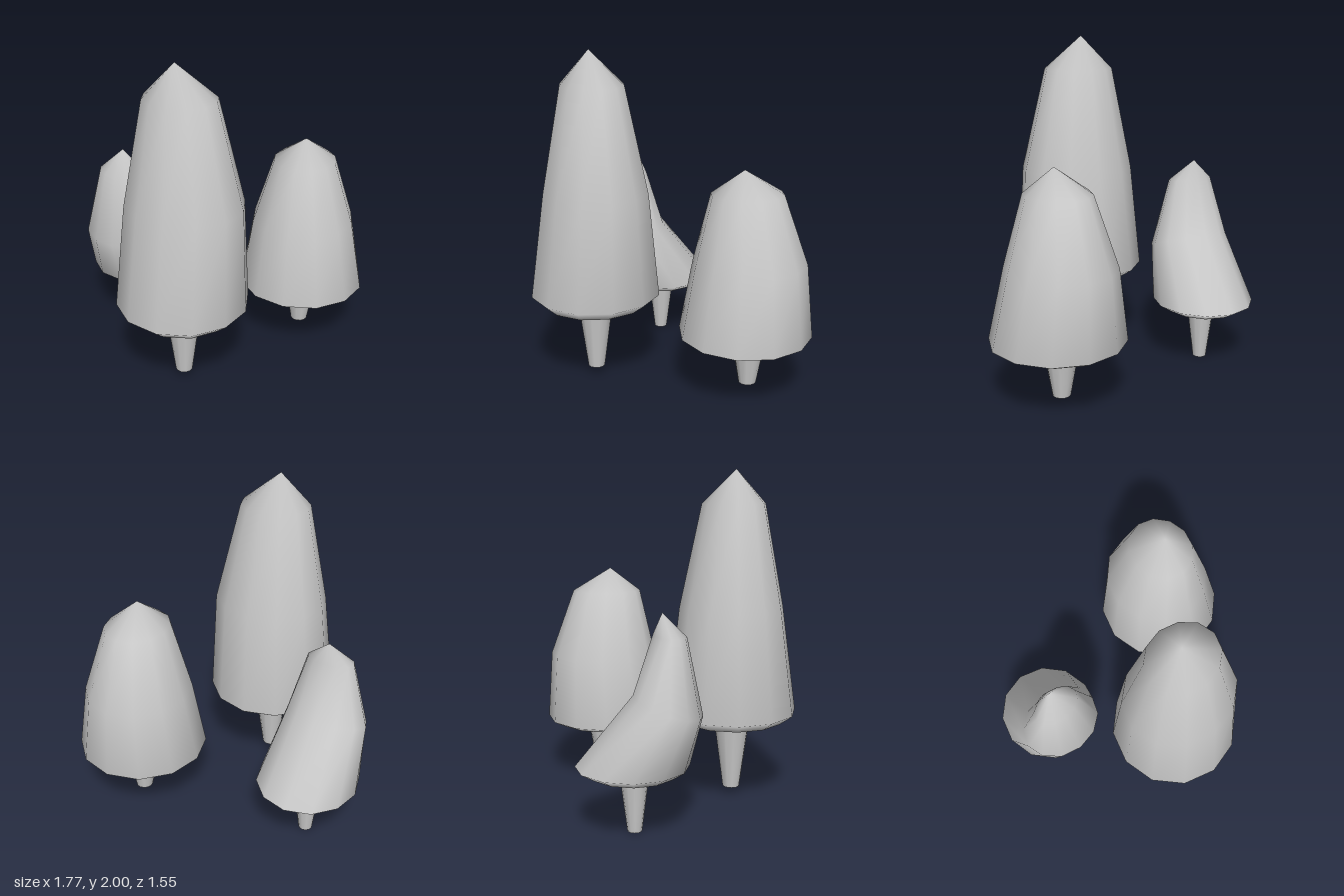
import * as THREE from 'three';

const SIDES = 12;

// Smooth closed loft. Rings run from top to bottom: [y, xMin, xMax, zMin, zMax, rise towards the back]
function crownGeometry(tip, rings, under) {
  const pos = [...tip];
  const index = [];
  for (const [y, x0, x1, z0, z1, tilt = 0] of rings) {
    for (let j = 0; j < SIDES; j++) {
      const a = (j / SIDES) * Math.PI * 2;
      pos.push(
        (x0 + x1) / 2 + ((x1 - x0) / 2) * Math.sin(a),
        y - tilt * Math.cos(a),
        (z0 + z1) / 2 + ((z1 - z0) / 2) * Math.cos(a)
      );
    }
  }
  pos.push(...under);
  const last = pos.length / 3 - 1;
  const at = (r, j) => 1 + r * SIDES + (j % SIDES);
  for (let j = 0; j < SIDES; j++) {
    index.push(0, at(0, j), at(0, j + 1));
    for (let r = 0; r < rings.length - 1; r++) {
      const a = at(r, j), b = at(r, j + 1), c = at(r + 1, j), d = at(r + 1, j + 1);
      index.push(c, d, b, c, b, a);
    }
    index.push(at(rings.length - 1, j + 1), at(rings.length - 1, j), last);
  }
  const g = new THREE.BufferGeometry();
  g.setAttribute('position', new THREE.Float32BufferAttribute(pos, 3));
  g.setIndex(index);
  g.computeVertexNormals();
  return g;
}

const TREES = [
  {
    name: 'tallTree',
    trunk: { x: -0.02, z: 0.385, y0: 0.05, y1: 0.52, r0: 0.052, r1: 0.115 },
    tip: [-0.05, 2.0, 0.39],
    rings: [
      [1.8, -0.24, 0.19, 0.19, 0.57],
      [1.18, -0.36, 0.345, 0.06, 0.69],
      [0.545, -0.42, 0.37, -0.015, 0.775],
      [0.48, -0.31, 0.29, 0.07, 0.7],
    ],
  },
  {
    name: 'middleTree',
    trunk: { x: 0.485, z: -0.415, y0: 0.05, y1: 0.38, r0: 0.053, r1: 0.11 },
    tip: [0.49, 1.365, -0.36],
    rings: [
      [1.22, 0.29, 0.67, -0.6, -0.17],
      [0.81, 0.16, 0.795, -0.75, -0.075],
      [0.38, 0.095, 0.885, -0.78, 0.005],
      [0.345, 0.17, 0.8, -0.71, -0.06],
    ],
  },
  {
    // short tree with a crown bent forward
    name: 'bentTree',
    trunk: { x: -0.58, z: -0.225, y0: 0, y1: 0.37, r0: 0.042, r1: 0.088 },
    tip: [-0.605, 1.245, -0.07],
    rings: [
      [1.12, -0.745, -0.46, -0.12, 0.065, 0.01],
      [0.73, -0.85, -0.35, -0.23, 0.155, 0.06],
      [0.385, -0.89, -0.28, -0.555, 0.085],
      [0.335, -0.81, -0.36, -0.47, 0.01],
    ],
  },
];

export function createModel() {
  const model = new THREE.Group();
  model.name = 'treeGroup';
  const material = new THREE.MeshStandardMaterial({ color: 0xcccccc });

  for (const { name, trunk: t, tip, rings } of TREES) {
    const tree = new THREE.Group();
    tree.name = name;

    // trunk, wider at the top
    const trunk = new THREE.Mesh(new THREE.CylinderGeometry(t.r1, t.r0, t.y1 - t.y0, SIDES), material);
    trunk.name = 'trunk';
    trunk.position.set(t.x, (t.y0 + t.y1) / 2, t.z);

    // crown
    const under = [t.x, rings[rings.length - 1][0], t.z];
    const crown = new THREE.Mesh(crownGeometry(tip, rings, under), material);
    crown.name = 'crown';

    tree.add(trunk, crown);
    model.add(tree);
  }
  return model;
}
